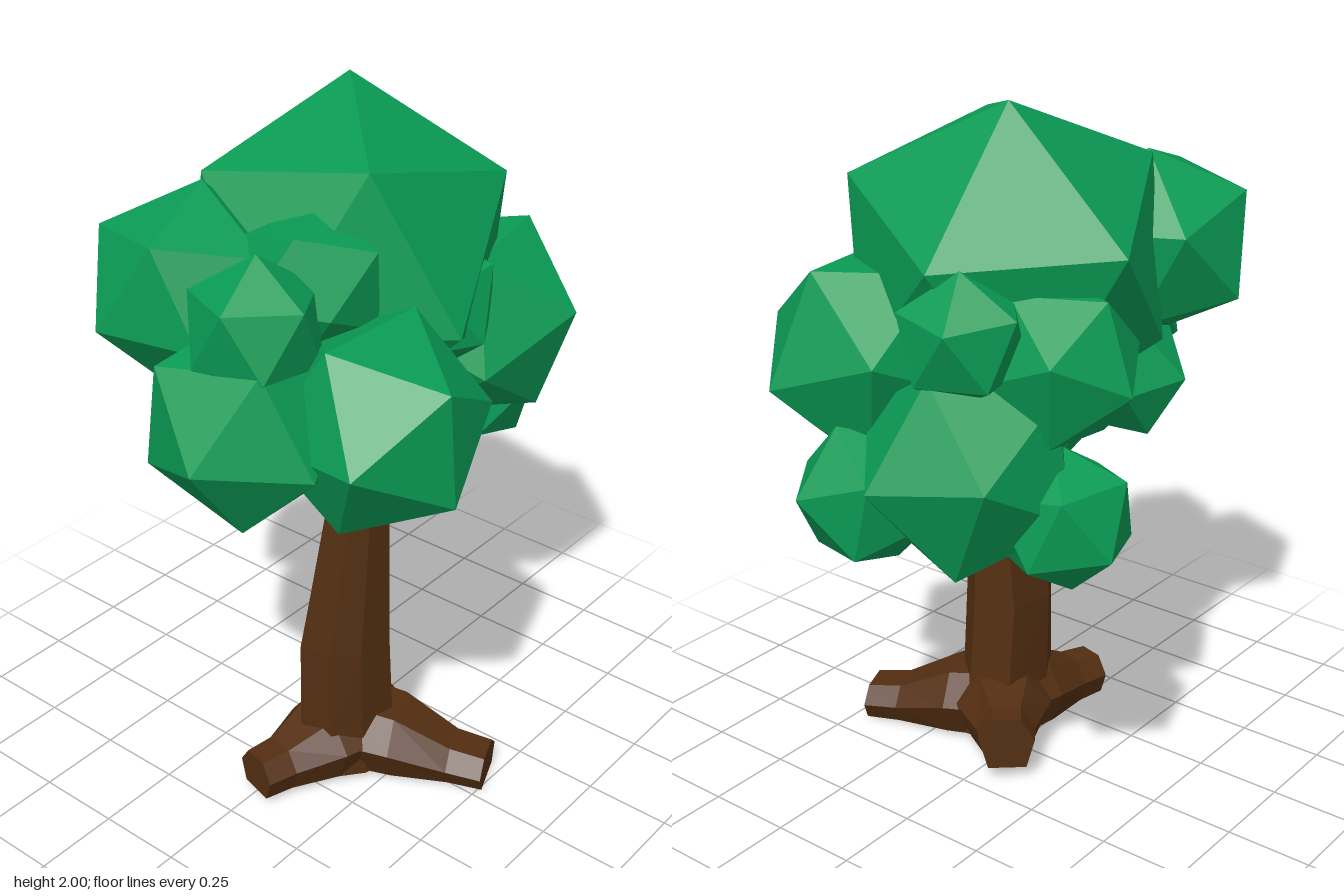
import * as THREE from 'three';

const V = (x, y, z) => new THREE.Vector3(x, y, z);
const leafMat = new THREE.MeshStandardMaterial({ color: 0x0a9a54, flatShading: true });
const barkMat = new THREE.MeshStandardMaterial({ color: 0x532e11, flatShading: true });

function add(parent, name, geometry, material) {
  const mesh = new THREE.Mesh(geometry, material);
  mesh.name = name;
  parent.add(mesh);
}

// Skin between rings of points, closed by a fan at both ends
function loft(rings) {
  const n = rings[0].length, last = (rings.length - 1) * n, index = [];
  for (let j = 0; j < rings.length - 1; j++) {
    for (let i = 0; i < n; i++) {
      const a = j * n + i, b = j * n + (i + 1) % n;
      index.push(a, a + n, b, b, a + n, b + n);
    }
  }
  for (let i = 1; i < n - 1; i++) index.push(0, i, i + 1, last, last + i + 1, last + i);
  const geo = new THREE.BufferGeometry().setFromPoints(rings.flat()).setIndex(index).toNonIndexed();
  geo.computeVertexNormals();
  return geo;
}

// Orthonormal frame from a main direction and a reference direction
function frame(main, ref) {
  const a = main.clone().normalize();
  const b = ref.clone().addScaledVector(a, -ref.dot(a)).normalize();
  return new THREE.Matrix4().makeBasis(a, b, a.clone().cross(b));
}

// Leaf clump: icosahedron with one corner along dir and the next towards ref,
// by default pointing out of the crown with the next corner upwards
const golden = (1 + Math.sqrt(5)) / 2;
const icoFrame = frame(V(-1, golden, 0), V(1, golden, 0)).transpose();
function clump(r, x, y, z, dir = V(x, y - 1.3, z), ref = V(0, 1, 0)) {
  return new THREE.IcosahedronGeometry(r, 0)
    .applyMatrix4(frame(dir, ref).multiply(icoFrame))
    .translate(x, y, z);
}

// Root: six-sided section swept from the foot to an end, narrowing on the way
const section = [[0.7, 0], [1, 0.55], [0.5, 1], [-0.5, 1], [-1, 0.55], [-0.7, 0]];
function root(end, endWidth, endHeight) {
  const start = V(-0.06, 0.02, 0.1);
  const side = V(end.x - start.x, 0, end.z - start.z).normalize().cross(V(0, 1, 0));
  const stations = [[0, 0], [0.35, 0.15], [0.75, 0.9], [1, 1]];
  return loft(stations.map(([along, taper]) => {
    const base = start.clone().lerp(end, along);
    const w = THREE.MathUtils.lerp(0.15, endWidth, taper);
    const h = THREE.MathUtils.lerp(0.2, endHeight, taper);
    return section.map(([s, u]) => base.clone().addScaledVector(side, s * w).setY(base.y + u * h));
  }));
}

export function createModel() {
  const tree = new THREE.Group();
  tree.name = 'tree';

  // Trunk: seven-sided rings of [y, centre x, centre z, radius x, radius z],
  // with a ridge towards the back left
  const trunkRings = [
    [0.02, -0.1, 0.12, 0.16, 0.13],
    [0.2, -0.11, 0.115, 0.155, 0.125],
    [0.46, -0.12, 0.115, 0.14, 0.125],
    [0.88, -0.105, 0.145, 0.095, 0.09],
    [1.25, -0.07, 0.14, 0.1, 0.09],
  ].map(([y, cx, cz, rx, rz]) => Array.from({ length: 7 }, (_, i) => {
    const turn = i / 7 * Math.PI * 2, a = turn - Math.PI / 4;
    const ridge = 1 + 0.32 * Math.cos(turn) ** 3;
    return V(cx + rx * ridge * Math.cos(a), y, cz + rz * ridge * Math.sin(a));
  }));
  add(tree, 'trunk', loft(trunkRings), barkMat);

  // Three roots
  add(tree, 'frontRoot', root(V(0.095, 0, 0.485), 0.095, 0.1), barkMat);
  add(tree, 'rightRoot', root(V(-0.4, 0.02, 0.01), 0.075, 0.12), barkMat);
  add(tree, 'backRoot', root(V(0.17, 0.04, -0.1), 0.08, 0.16), barkMat);

  const crown = new THREE.Group();
  crown.name = 'crown';
  tree.add(crown);
  const leaf = (name, ...shape) => add(crown, name, clump(...shape), leafMat);

  // Clumps with their own tilt
  leaf('topClump', 0.473, 0.1, 1.553, -0.05, V(0.26, 0.945, -0.21), V(0.44, 0.08, -0.1));
  leaf('frontRightClump', 0.305, -0.25, 1.3, 0.325, V(-0.06, -0.49, 0.87), V(-0.03, 0.18, 0.22));
  leaf('frontLeftClump', 0.31, 0.39, 1.32, 0.17, V(-0.17, 0.28, 0.13), V(0.06, 0.06, 0.29));
  leaf('rightClump', 0.29, -0.45, 1.3, 0.07, V(-0.28, -0.02, 0.06), V(0, -1, 0.15));
  leaf('backRightClump', 0.28, -0.33, 1.54, -0.24, V(-0.21, 0.2, 0.07), V(0.11, 0.26, -0.02));
  leaf('leftClump', 0.31, 0.43, 1.11, -0.18, V(0.23, 0.04, -0.24), V(0.29, -0.02, 0.13));
  leaf('backLeftClump', 0.23, 0.28, 1.37, -0.35, V(0, -0.04, -0.23), V(-0.2, 0.03, -0.1));
  leaf('lowBackClump', 0.2, 0.32, 0.98, -0.4, V(0, -0.19, -0.03), V(0.05, -0.03, -0.19));
  leaf('lowLeftClump', 0.205, 0.55, 1.005, 0.06, V(0.18, 0.02, 0.07), V(0.01, 0.19, 0.03));

  // Small filling clumps: [radius, x, y, z]
  [
    [0.18, 0.47, 1.46, -0.2],
    [0.19, -0.45, 1.57, 0.1],
    [0.21, -0.21, 1.6, 0.08],
    [0.19, -0.33, 1.13, -0.14],
    [0.17, 0.05, 1.16, 0.2],
    [0.2, 0.12, 1.47, 0.21],
    [0.16, 0.14, 0.97, -0.08],
    [0.25, 0.08, 1.2, -0.1],
  ].forEach((c, i) => leaf('smallClump' + (i + 1), ...c));
  return tree;
}
